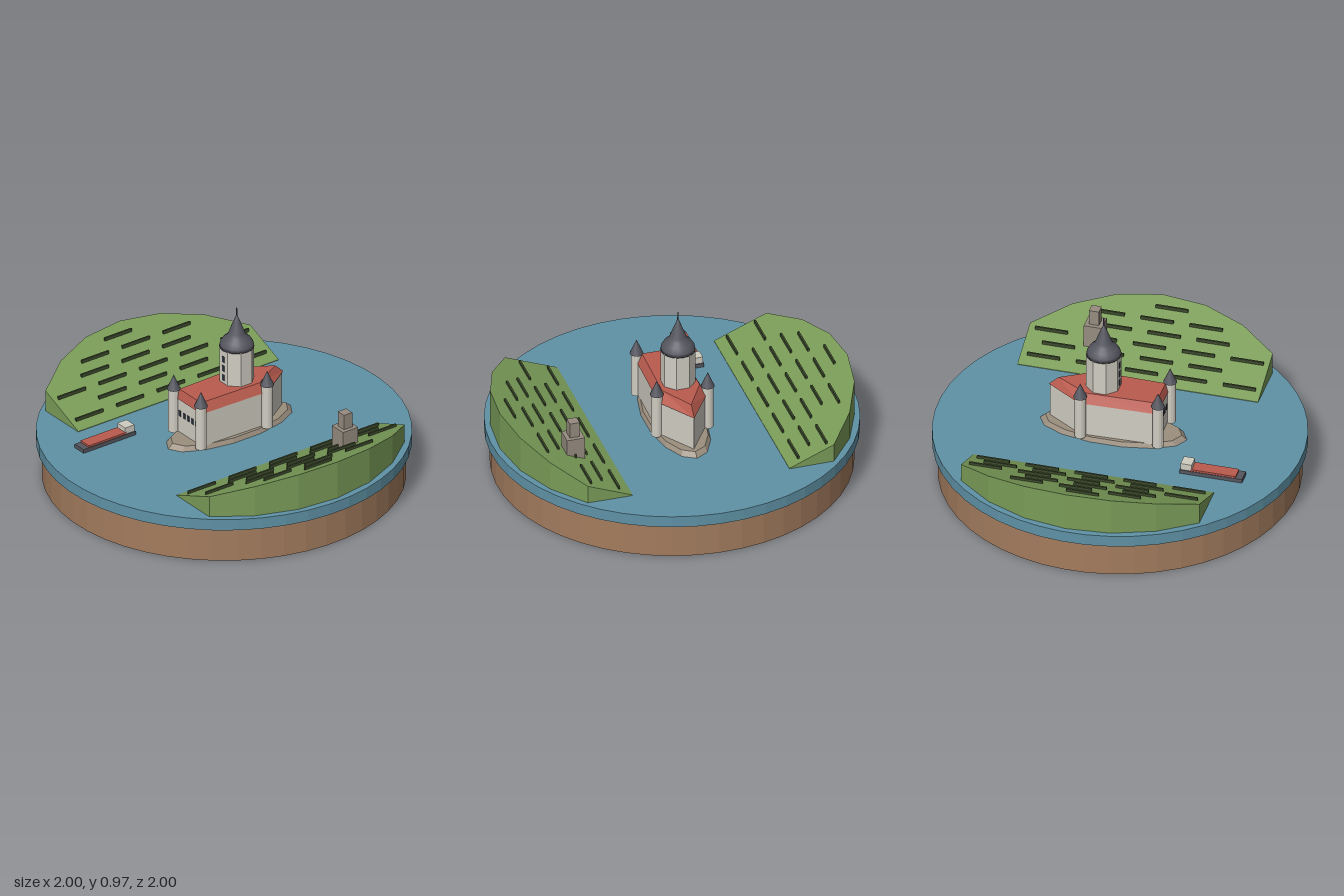
import * as THREE from 'three';

const mat = (name, color, flat = true) => {
  const m = new THREE.MeshStandardMaterial({ color, flatShading: flat });
  m.name = name;
  return m;
};

export function createModel() {
  const water = mat('water', 0x5f92a6), earth = mat('earth', 0xa37c5e);
  const grass = mat('grass', 0x7a9c58), vine = mat('vine', 0x3c4a2c);
  const plaster = mat('plaster', 0xd0cdc2), roofRed = mat('roofRed', 0xba5b4e);
  const slate = mat('slate', 0x55565f, false), rock = mat('rock', 0x9c8f7f);
  const ruinStone = mat('ruinStone', 0x968c80), glass = mat('glass', 0x343a48);
  const turretWall = plaster;

  const model = new THREE.Group();
  model.name = 'riverIsland';
  const add = (parent, name, geo, material, x = 0, y = 0, z = 0) => {
    const m = new THREE.Mesh(geo, material);
    m.name = name;
    m.position.set(x, y, z);
    parent.add(m);
    return m;
  };
  const box = (w, h, d) => new THREE.BoxGeometry(w, h, d);
  const cyl = (rt, rb, h, n) => new THREE.CylinderGeometry(rt, rb, h, n);
  // Upright prism standing on y = 0 from plan points [x, z]
  const prism = (pts, h) => {
    const s = new THREE.Shape(pts.map(([x, z]) => new THREE.Vector2(x, -z)));
    return new THREE.ExtrudeGeometry(s, { depth: h, bevelEnabled: false }).rotateX(-Math.PI / 2);
  };
  // Moves only the upper vertices of a prism
  const moveTop = (geo, fn) => {
    const p = geo.attributes.position, v = new THREE.Vector3();
    for (let i = 0; i < p.count; i++) {
      v.fromBufferAttribute(p, i);
      if (v.y > 0.001) {
        fn(v);
        p.setXYZ(i, v.x, v.y, v.z);
      }
    }
    geo.computeVertexNormals();
    return geo;
  };

  // Round base
  add(model, 'earthBase', cyl(0.97, 0.97, 0.2, 48), earth, 0, 0.1);
  add(model, 'riverSurface', cyl(1, 1, 0.065, 48), water, 0, 0.2325);

  // Everything on the river follows its diagonal course
  const W = 0.265;
  const course = new THREE.Group();
  course.name = 'riverCourse';
  course.rotation.y = -Math.PI / 9;
  model.add(course);

  // Sloping banks with rows of vines
  const rise = x => 0.003 + 0.405 * (Math.abs(x) - 0.437);
  for (const side of [-1, 1]) {
    const bank = new THREE.Group();
    bank.name = side < 0 ? 'rightBank' : 'leftBank';
    course.add(bank);
    const pts = [[side * 0.437, 0.64], [side * 0.437, -0.688]];
    for (let i = 0; i <= 6; i++) {
      const a = THREE.MathUtils.degToRad(-45 + i * 86.3 / 6);
      pts.push([side * 0.97 * Math.cos(a), 0.97 * Math.sin(a)]);
    }
    add(bank, 'hillside', moveTop(prism(pts, 0.1), v => { v.y = rise(v.x); }), grass, 0, W);
    for (let r = 0; r < 6; r++) {
      const x = 0.5 + r * 0.078;
      for (let k = 0; k < 5; k++) {
        const z = -0.56 + k * 0.27 + (r % 2) * 0.06;
        if (z > 0.55 || Math.hypot(x, Math.abs(z) + 0.09) > 0.93) continue;
        add(bank, 'vineRow', box(0.01, 0.022, 0.18), vine, side * x, W + rise(x) + 0.006, z);
      }
    }
  }

  // Ruined watchtower
  const ruin = new THREE.Group();
  ruin.name = 'ruin';
  ruin.position.set(0.651, 0, -0.317);
  course.add(ruin);
  add(ruin, 'ruinBase', box(0.1, 0.14, 0.1), ruinStone, 0, 0.395);
  add(ruin, 'ruinTower', box(0.055, 0.09, 0.055), ruinStone, 0, 0.507);

  // Barge
  const barge = new THREE.Group();
  barge.name = 'barge';
  barge.position.set(-0.27, W, 0.586);
  course.add(barge);
  add(barge, 'hull', box(0.08, 0.022, 0.345), slate, 0, 0.011);
  add(barge, 'cargoDeck', box(0.074, 0.012, 0.25), roofRed, 0, 0.027, 0.011);
  add(barge, 'cabin', box(0.07, 0.05, 0.062), plaster, 0, 0.035, -0.137);

  // Rock under the castle
  const rockGeo = cyl(0.93, 1, 0.025, 14);
  rockGeo.scale(0.16, 1, 0.405);
  add(course, 'islandRock', rockGeo, rock, 0, W + 0.0125, -0.035);

  // Main hall: pentagon with a pointed stern
  const castle = new THREE.Group();
  castle.name = 'castle';
  course.add(castle);
  const plan = [[-0.12, 0.235], [0.12, 0.235], [0.13, -0.185], [0, -0.385], [-0.13, -0.185]];
  add(castle, 'hallWalls', prism(plan, 0.205), plaster, 0, 0.285);
  const eaves = plan.map(([x, z]) => [x * 1.03, z * 1.02]);
  add(castle, 'hallRoof', moveTop(prism(eaves, 0.052), v => {
    v.x *= 0.78;
    v.z = 0.1 + (v.z - 0.1) * 0.89;
  }), roofRed, 0, 0.488);
  for (let i = -2; i <= 2; i++) {
    add(castle, 'hallWindow', box(0.018, 0.032, 0.006), glass, i * 0.037, 0.405, 0.236);
  }

  // Corner turrets
  for (const side of [-1, 1]) {
    for (const [x, z] of [[0.121, 0.243], [0.142, -0.18]]) {
      const t = new THREE.Group();
      t.name = 'turret';
      t.position.set(side * x, 0, z);
      castle.add(t);
      const wall = add(t, 'turretWall', cyl(0.03, 0.03, 0.255, 14), turretWall, 0, 0.4125);
      wall.rotation.y = 0.2;
      add(t, 'turretRoof', new THREE.ConeGeometry(0.037, 0.085, 14), slate, 0, 0.58);
    }
  }

  // Octagonal keep with a curved spire
  const keep = new THREE.Group();
  keep.name = 'keep';
  keep.position.set(-0.005, 0, -0.088);
  castle.add(keep);
  add(keep, 'keepWalls', cyl(0.094, 0.094, 0.26, 8), plaster, 0, 0.615).rotation.y = Math.PI / 8;
  for (let i = 0; i < 3; i++) {
    add(keep, 'keepWindow', box(0.016, 0.034, 0.006), glass, 0, 0.575 + i * 0.055, 0.0875);
  }
  const profile = [[0, 0.74], [0.094, 0.74], [0.09, 0.76], [0.075, 0.785], [0.052, 0.805],
    [0.043, 0.825], [0.036, 0.845], [0.018, 0.89], [0.004, 0.925], [0, 0.927]]
    .map(([r, y]) => new THREE.Vector2(r, y));
  add(keep, 'keepSpire', new THREE.LatheGeometry(profile, 20), slate);
  add(keep, 'finial', cyl(0.003, 0.004, 0.06, 6), slate, 0, 0.94);

  return model;
}
